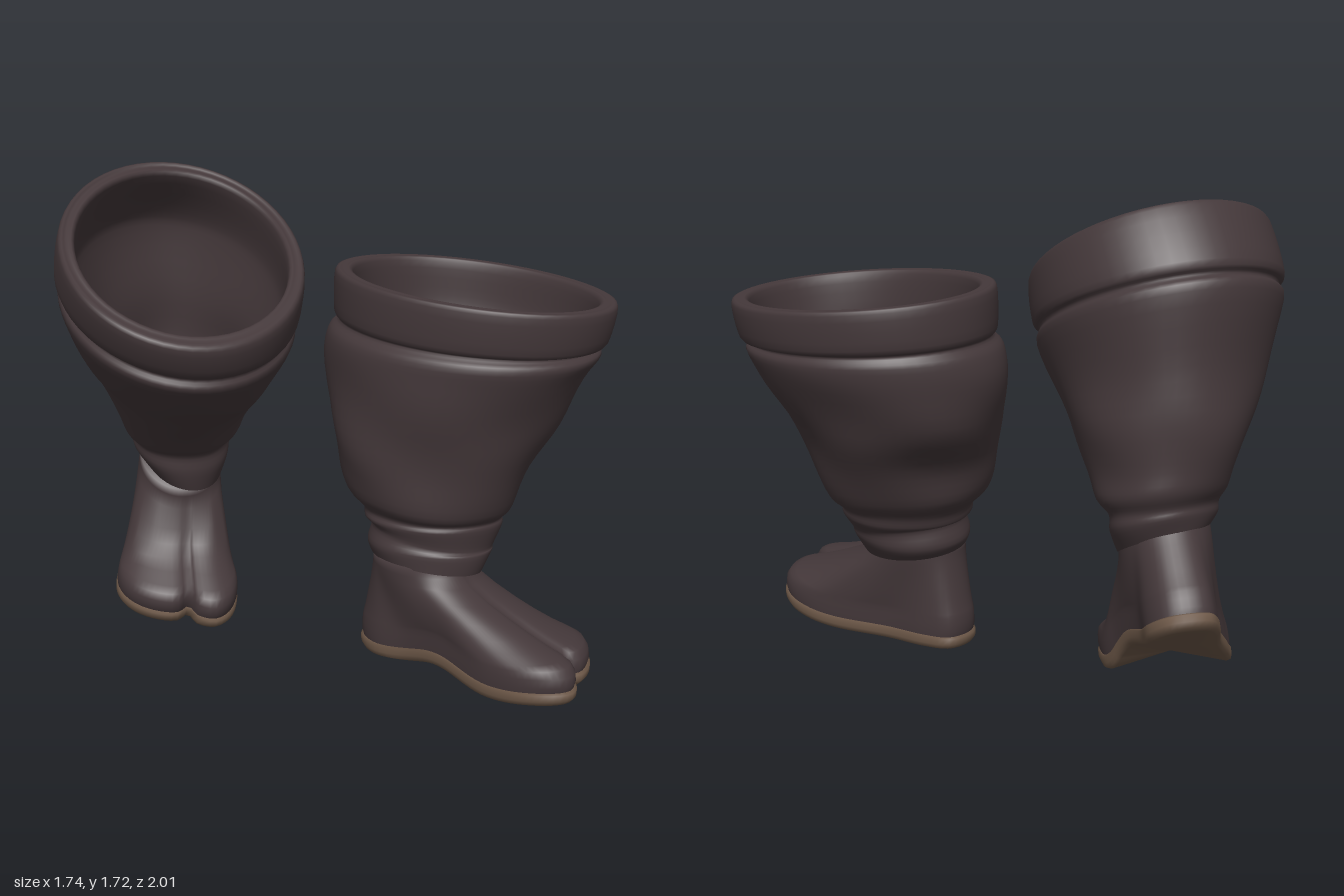
import * as THREE from 'three';

const SEGMENTS = 56;

// Smooth surface through rings of points; rings run bottom to top, each ring turns from +x to +z.
function loft(rings, capStart, capEnd) {
  const n = rings[0].length, positions = [], index = [];
  rings.forEach(ring => ring.forEach(p => positions.push(p.x, p.y, p.z)));
  for (let i = 0; i < rings.length - 1; i++) {
    for (let j = 0; j < n; j++) {
      const k = (j + 1) % n;
      const a = i * n + j, b = i * n + k, c = a + n, d = b + n;
      index.push(a, c, b, b, c, d);
    }
  }
  const cap = (ring, start, flip) => {
    const mid = new THREE.Vector3();
    ring.forEach(p => mid.addScaledVector(p, 1 / n));
    const m = positions.length / 3;
    positions.push(mid.x, mid.y, mid.z);
    for (let j = 0; j < n; j++) {
      const a = start + j, b = start + (j + 1) % n;
      if (flip) index.push(a, b, m); else index.push(a, m, b);
    }
  };
  if (capStart) cap(rings[0], 0, true);
  if (capEnd) cap(rings[rings.length - 1], (rings.length - 1) * n, false);
  const geometry = new THREE.BufferGeometry();
  geometry.setAttribute('position', new THREE.Float32BufferAttribute(positions, 3));
  geometry.setIndex(index);
  geometry.computeVertexNormals();
  return geometry;
}

// Catmull-Rom subdivision of a list of number rows
function smoothRows(rows, steps) {
  const out = [];
  const at = i => rows[Math.min(Math.max(i, 0), rows.length - 1)];
  for (let i = 0; i < rows.length - 1; i++) {
    for (let s = 0; s < steps; s++) {
      const t = s / steps;
      out.push(rows[i].map((p1, c) => {
        const p0 = at(i - 1)[c], p2 = at(i + 1)[c], p3 = at(i + 2)[c];
        return p1 + 0.5 * t * (p2 - p0 + t * (2 * p0 - 5 * p1 + 4 * p2 - p3 + t * (3 * (p1 - p2) + p3 - p0)));
      }));
    }
  }
  out.push(at(rows.length));
  return out;
}

const inset = ([x0, x1, z0, z1, ...rest], d) => [x0 + d, x1 - d, z0 + d, z1 - d, ...rest];

// Cloth leg: rows are [xMin, xMax, zMin, zMax, y, slopeX, slopeZ, wrinkle], bottom to top;
// the inside is lined down to the row floorRow
function legGeometry(rows, floorRow, skew, phase) {
  const top = rows[rows.length - 1];
  const crest = inset(top, 0.03);
  crest[4] += 0.012;
  const tuck = rows.length - 3;
  const inner = rows.filter((r, i) => i >= floorRow && i !== tuck).reverse().map(r => inset(r, 0.06));
  const rings = smoothRows([...rows, crest, ...inner], 4).map(([x0, x1, z0, z1, y, sx, sz, w]) => {
    const ring = [];
    for (let j = 0; j < SEGMENTS; j++) {
      const t = j / SEGMENTS * Math.PI * 2;
      // diagonal folds in the cloth
      const fold = 1 + w * (0.6 * Math.sin(3 * t + 13 * y + phase) + 0.4 * Math.sin(5 * t - 17 * y));
      const dx = (x1 - x0) / 2 * Math.cos(t) * fold;
      const dz = (z1 - z0) / 2 * Math.sin(t + skew) * fold;
      ring.push(new THREE.Vector3((x0 + x1) / 2 + dx, y + sx * dx + sz * dz, (z0 + z1) / 2 + dz));
    }
    return ring;
  });
  return loft(rings, false, true);
}

// Split-toe foot outline as [x, z], heel at z = 0, inner side at -x
const OUTLINE = [
  [0.14, 0.27], [0.195, 0.45], [0.235, 0.62], [0.225, 0.73], [0.175, 0.81], [0.1, 0.855], [0.02, 0.865],
  [-0.022, 0.83], [-0.055, 0.885], [-0.12, 0.905], [-0.175, 0.865], [-0.212, 0.77], [-0.212, 0.64],
  [-0.165, 0.43], [-0.13, 0.25], [-0.12, 0.1], [-0.07, 0.02], [0.0, 0.0], [0.07, 0.02], [0.11, 0.11]];

// Rings of a foot; levels are [height, blend toward the ankle, growth]
function footRings(levels, mirror, bend) {
  const curve = new THREE.CatmullRomCurve3(OUTLINE.map(([x, z]) => new THREE.Vector3(x, 0, z)), true);
  const outline = curve.getSpacedPoints(96).slice(0, 96);
  return levels.map(([height, blend, grow]) => {
    const ring = outline.map(p => {
      const a = Math.atan2((p.z - 0.42) / 0.45, p.x / 0.2);
      const x = THREE.MathUtils.lerp(p.x * grow, 0.157 * Math.cos(a), blend);
      let z = THREE.MathUtils.lerp(0.42 + (p.z - 0.42) * grow, 0.23 + 0.182 * Math.sin(a), blend);
      // toe spring and inner arch, then the bend at the ball of the foot
      const arch = Math.exp(-(((z - 0.4) / 0.17) ** 2)) * THREE.MathUtils.smoothstep(-x, 0.02, 0.15);
      let y = height + 0.05 * THREE.MathUtils.smoothstep(z, 0.45, 0.9) + 0.055 * arch * (1 - blend);
      const past = THREE.MathUtils.clamp((z - 0.5) / 0.2, 0, 1) * bend;
      const dz = z - 0.6;
      z = 0.6 + dz * Math.cos(past) - y * Math.sin(past);
      y = y * Math.cos(past) + dz * Math.sin(past);
      return new THREE.Vector3(x * mirror, y, z);
    });
    return mirror < 0 ? ring.reverse() : ring;
  });
}

const SOLE = [[0.0, 0, 0.9], [0.005, 0, 0.98], [0.022, 0, 1.01], [0.045, 0, 1.012], [0.053, 0, 0.98]];
const UPPER = [[0.045, 0, 0.985], [0.07, 0, 1], [0.1, 0.01, 1], [0.125, 0.05, 1], [0.14, 0.12, 1], [0.165, 0.25, 1],
  [0.2, 0.4, 1], [0.24, 0.56, 1], [0.285, 0.74, 1], [0.33, 0.9, 1], [0.365, 0.98, 1], [0.4, 1, 1]];

const LEFT_LEG = [
  [0.055, 0.41, 0.13, 0.535, 0.375, -0.15, 0, 0],
  [0.045, 0.45, 0.1, 0.545, 0.43, -0.1, 0.05, 0.02],
  [0.06, 0.46, 0.11, 0.535, 0.475, -0.12, -0.08, 0.02],
  [0.04, 0.5, 0.08, 0.55, 0.52, -0.08, 0.06, 0.02],
  [0.045, 0.51, 0.06, 0.545, 0.555, -0.05, 0, 0.02],
  [0.0, 0.56, 0.0, 0.575, 0.61, -0.05, -0.05, 0.025],
  [-0.02, 0.63, -0.05, 0.61, 0.75, 0, -0.03, 0.03],
  [-0.02, 0.7, -0.15, 0.68, 0.9, 0, 0, 0.03],
  [-0.03, 0.79, -0.2, 0.745, 1.07, -0.02, 0, 0.015],
  [-0.02, 0.83, -0.2, 0.78, 1.16, -0.03, -0.02, 0.004],
  [0.015, 0.815, -0.175, 0.755, 1.195, -0.04, -0.03, 0],
  [0.0, 0.85, -0.195, 0.79, 1.22, -0.05, -0.04, 0],
  [0.0, 0.87, -0.195, 0.81, 1.345, -0.07, -0.04, 0]];

const RIGHT_LEG = [
  [-0.395, -0.085, -0.78, -0.445, 0.585, -0.03, -0.52, 0],
  [-0.44, -0.05, -0.79, -0.425, 0.65, 0, -0.4, 0.02],
  [-0.45, -0.05, -0.785, -0.42, 0.7, 0, -0.3, 0.02],
  [-0.49, -0.02, -0.81, -0.36, 0.745, 0.03, -0.28, 0.02],
  [-0.53, -0.02, -0.82, -0.28, 0.82, 0.05, -0.22, 0.025],
  [-0.61, 0.0, -0.84, -0.14, 0.95, 0.05, -0.25, 0.03],
  [-0.72, 0.01, -0.82, 0.0, 1.09, 0.05, -0.34, 0.015],
  [-0.82, 0.045, -0.82, 0.13, 1.265, 0.05, -0.42, 0.004],
  [-0.81, 0.03, -0.785, 0.13, 1.31, 0.05, -0.43, 0],
  [-0.845, 0.05, -0.79, 0.165, 1.345, 0.05, -0.44, 0],
  [-0.87, 0.03, -0.66, 0.2, 1.47, 0.05, -0.56, 0]];

export function createModel() {
  const cloth = new THREE.MeshStandardMaterial({ color: 0x44383a });
  const leather = new THREE.MeshStandardMaterial({ color: 0x6d5848 });
  cloth.name = 'dark cloth';
  leather.name = 'brown sole';

  const add = (parent, geometry, material, name) => {
    const mesh = new THREE.Mesh(geometry, material);
    mesh.name = name;
    parent.add(mesh);
  };

  const boot = (name, leg, mirror, bend, position, [pitch, yaw, roll]) => {
    const group = new THREE.Group();
    group.name = name;
    add(group, leg, cloth, 'leg');
    const foot = new THREE.Group();
    foot.name = 'foot';
    add(foot, loft(footRings(UPPER, mirror, bend), false, true), cloth, 'upper');
    add(foot, loft(footRings(SOLE, mirror, bend), true, true), leather, 'sole');
    foot.position.set(...position);
    foot.rotation.set(pitch, yaw, roll, 'YXZ');
    group.add(foot);
    return group;
  };

  const model = new THREE.Group();
  model.name = 'boots';
  // planted boot in front, lifted heel behind
  const leftLeg = legGeometry(LEFT_LEG, 5, 0.13, 0);
  const rightLeg = legGeometry(RIGHT_LEG, 4, -0.12, 2);
  model.add(boot('leftBoot', leftLeg, 1, 0, [0.135, 0.005, 0.115], [0, 0.35, 0]));
  model.add(boot('rightBoot', rightLeg, -1, 0.32, [-0.1, 0.43, -0.99], [0.635, -0.46, -0.09]));
  return model;
}
